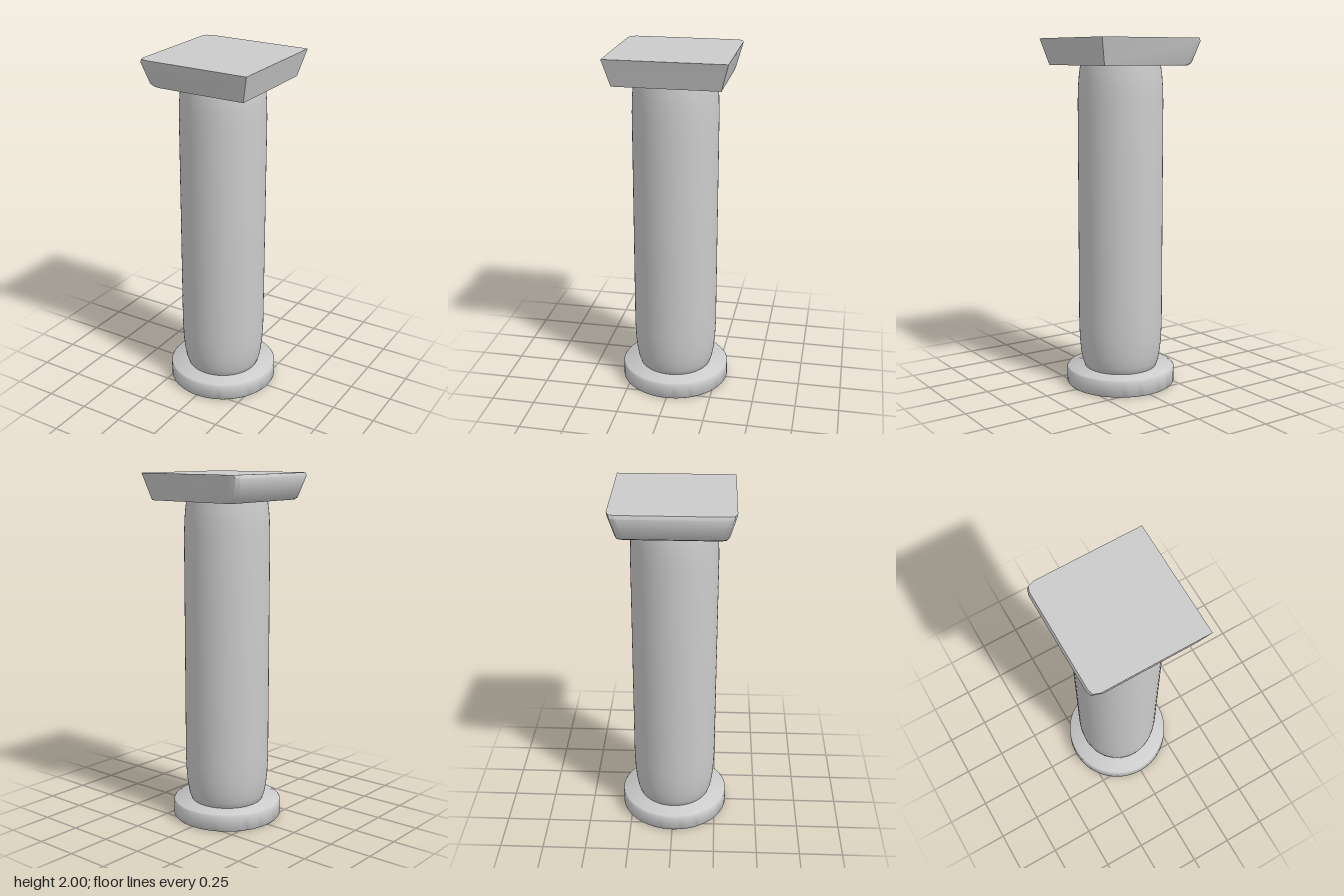
import * as THREE from 'three';
import { toCreasedNormals } from 'three/addons/utils/BufferGeometryUtils.js';

const material = new THREE.MeshStandardMaterial({ color: 0xcccccc });

function addPart(group, name, geometry, x = 0, z = 0) {
  const mesh = new THREE.Mesh(geometry, material);
  mesh.name = name;
  mesh.position.set(x, 0, z);
  group.add(mesh);
}

// Square section whose two -x corners are rounded; inset pulls in the -x edge
function section(half, y, inset) {
  const left = -half + inset;
  const corner = [[0.048, 0], [0.01, 0.013], [0, 0.043]];
  const back = corner.map(([dx, dz]) => [left + dx, -half + dz]);
  const front = corner.map(([dx, dz]) => [left + dx, half - dz]).reverse();
  return [[half, half], [half, -half], ...back, ...front]
    .map(([x, z]) => new THREE.Vector3(x, y, z));
}

// Closed solid skinned through stacked sections, with flat caps
function loft(sections) {
  const points = [];
  const n = sections[0].length;
  for (let s = 0; s < sections.length - 1; s++) {
    const lower = sections[s], upper = sections[s + 1];
    for (let i = 0; i < n; i++) {
      const j = (i + 1) % n;
      points.push(lower[i], lower[j], upper[j], lower[i], upper[j], upper[i]);
    }
  }
  const bottom = sections[0], top = sections[sections.length - 1];
  for (let i = 1; i < n - 1; i++) {
    points.push(top[0], top[i], top[i + 1], bottom[0], bottom[i + 1], bottom[i]);
  }
  const geometry = new THREE.BufferGeometry().setFromPoints(points);
  return toCreasedNormals(geometry, 0.9);
}

const profile = (pairs) => pairs.map(([r, y]) => new THREE.Vector2(r, y));

export function createModel() {
  const group = new THREE.Group();
  group.name = 'column';

  // Round base disc with a small bevel
  const base = new THREE.LatheGeometry(profile([
    [0, 0], [0.308, 0], [0.315, 0.008], [0.315, 0.092], [0.308, 0.1], [0, 0.1],
  ]), 64);
  addPart(group, 'base', toCreasedNormals(base, 0.9), -0.003, 0.003);

  // Shaft, drawn in softly at both ends
  const shaft = new THREE.LatheGeometry(profile([
    [0, 0.09], [0.2, 0.09], [0.211, 0.105], [0.222, 0.135], [0.232, 0.19], [0.239, 0.26],
    [0.243, 0.36], [0.243, 1.65], [0.24, 1.74], [0.235, 1.8], [0.228, 1.85], [0, 1.855],
  ]), 64);
  addPart(group, 'shaft', toCreasedNormals(shaft, 0.9), -0.003, 0.003);

  // Flared square capital, softened along its -x side
  addPart(group, 'capital', loft([
    section(0.293, 1.85, 0.018),
    section(0.296, 1.862, 0),
    section(0.328, 1.982, -0.005),
    section(0.333, 2, 0.01),
  ]));
  return group;
}
